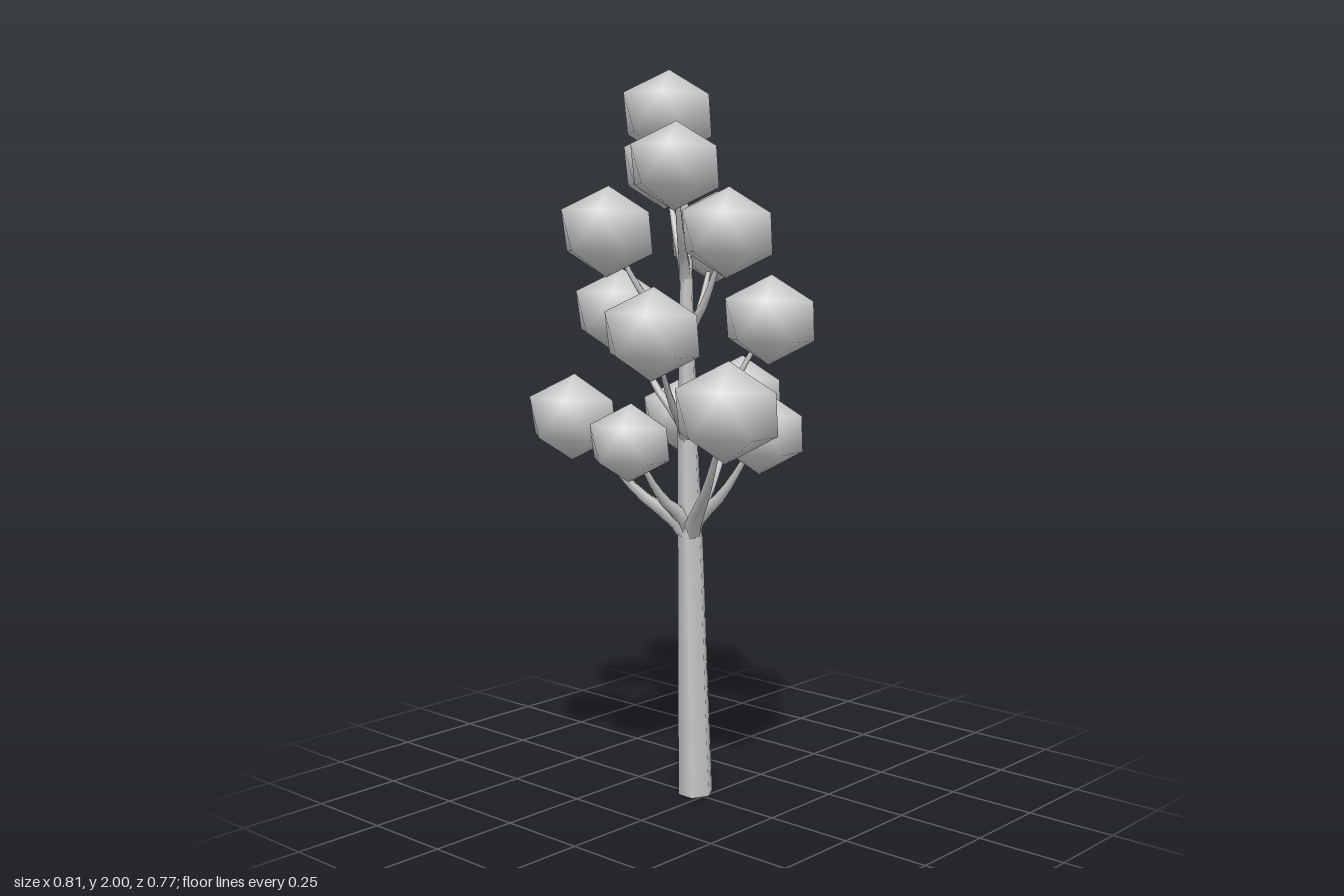
import * as THREE from 'three';
import { mergeVertices } from 'three/addons/utils/BufferGeometryUtils.js';

const V = (x, y, z) => new THREE.Vector3(x, y, z);

// Leaf clumps: x, y, z, radius, then the height where its branch leaves the trunk
const CLUMPS = [
  [-0.087, 1.885, -0.048, 0.12, 1.65],
  [0.032, 1.75, -0.168, 0.117, 1.45],
  [-0.19, 1.75, 0.073, 0.117, 1.45],
  [-0.068, 1.58, 0.145, 0.122, 1.28],
  [0.135, 1.56, -0.075, 0.13, 1.25],
  [-0.215, 1.58, -0.148, 0.124, 1.25],
  [-0.278, 1.325, 0.075, 0.125, 1.0],
  [0.1, 1.345, 0.15, 0.125, 1.0],
  [-0.05, 1.355, -0.265, 0.125, 1.02],
  [-0.19, 1.13, 0.25, 0.136, 0.74],
  [0.012, 1.055, 0.193, 0.117, 0.76],
  [0.285, 1.105, -0.11, 0.119, 0.74],
  [0.11, 1.06, -0.18, 0.11, 0.74],
  [-0.24, 1.03, -0.045, 0.108, 0.76],
  [-0.262, 1.085, -0.235, 0.12, 0.74],
];

// Trunk centre line
const TRUNK = [
  V(0.009, 0.008, -0.038), V(-0.005, 0.35, -0.035), V(-0.017, 0.7, -0.032),
  V(-0.03, 1.0, -0.03), V(-0.045, 1.35, -0.02), V(-0.055, 1.65, -0.02), V(-0.085, 1.87, -0.045),
];

// Trunk centre at a given height
function trunkAt(y) {
  const i = Math.max(1, TRUNK.findIndex((p) => p.y >= y));
  const a = TRUNK[i - 1], b = TRUNK[i];
  return a.clone().lerp(b, (y - a.y) / (b.y - a.y));
}

// Tube along a curve whose rings are scaled by radiusAt(t)
function taperedTube(points, segments, sides, radiusAt) {
  const curve = new THREE.CatmullRomCurve3(points);
  const geo = new THREE.TubeGeometry(curve, segments, 1, sides);
  const pos = geo.attributes.position, v = V(0, 0, 0);
  for (let i = 0; i <= segments; i++) {
    const c = curve.getPointAt(i / segments), r = radiusAt(i / segments);
    for (let j = 0; j <= sides; j++) {
      const k = i * (sides + 1) + j;
      v.fromBufferAttribute(pos, k).sub(c).multiplyScalar(r).add(c);
      pos.setXYZ(k, v.x, v.y, v.z);
    }
  }
  return geo;
}

// Smooth-shaded icosahedron standing on one corner, an upper corner towards +x
function clumpGeometry() {
  let geo = new THREE.IcosahedronGeometry(1, 0);
  geo.deleteAttribute('normal');
  geo.deleteAttribute('uv');
  geo = mergeVertices(geo);
  geo.rotateZ(Math.atan(2 / (1 + Math.sqrt(5))));
  geo.rotateY(Math.PI - 0.05);
  geo.computeVertexNormals();
  return geo;
}

export function createModel() {
  const tree = new THREE.Group();
  tree.name = 'tree';
  const grey = new THREE.MeshStandardMaterial({ color: 0xcccccc });
  grey.name = 'light grey';
  const add = (name, geo) => {
    const mesh = new THREE.Mesh(geo, grey);
    mesh.name = name;
    tree.add(mesh);
    return mesh;
  };

  // Trunk, slimming faster above the first fork
  add('trunk', taperedTube(TRUNK, 24, 6, (t) =>
    t < 0.4 ? 0.05 - 0.035 * t : 0.036 - 0.048 * (t - 0.4)));
  const foot = add('trunkBase', new THREE.CircleGeometry(0.049, 6));
  foot.rotation.x = Math.PI / 2;
  foot.position.copy(TRUNK[0]);

  const leafGeo = clumpGeometry();
  CLUMPS.forEach(([x, y, z, r, forkY], i) => {
    // Leaf clump, slightly flattened and leaning a touch
    const clump = add('leafClump', leafGeo);
    clump.position.set(x, y, z);
    clump.scale.set(r * 1.11, r * 0.97, r * 1.11);
    clump.rotation.z = -0.05;

    // Branch curving out of the trunk and up into the clump
    if (i === 0) return;
    const from = trunkAt(forkY), to = V(x, y, z);
    const mid = from.clone().lerp(to, 0.45);
    mid.y -= 0.02;
    const near = from.clone().lerp(to, 0.12);
    near.y += 0.01;
    const thick = forkY < 0.9 ? 0.022 : 0.012;
    add('branch', taperedTube([from, near, mid, to], 8, 5, (t) => thick * (1 - t) ** 1.8 + 0.006));
  });
  return tree;
}
